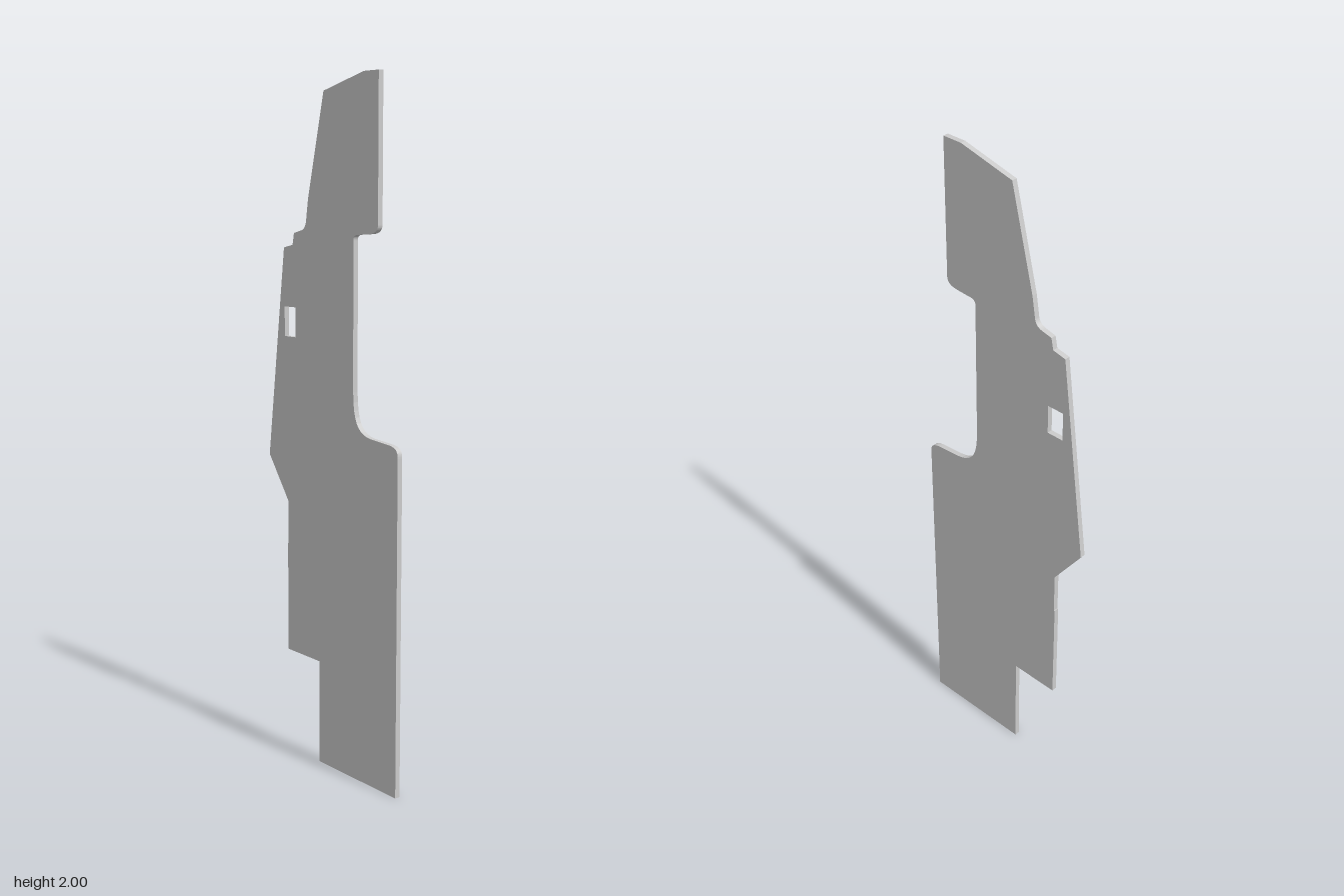
import * as THREE from 'three';

const THICKNESS = 0.016;

// Flat panel outline, counter-clockwise from the lower left foot corner
function panelShape() {
  const s = new THREE.Shape();
  s.moveTo(-0.053, 0);
  s.lineTo(0.295, 0);
  // rounded shoulder
  s.lineTo(0.295, 0.97);
  s.bezierCurveTo(0.295, 0.992, 0.285, 1.0, 0.255, 1.003);
  s.lineTo(0.2, 1.007);
  // side cut-out
  s.bezierCurveTo(0.135, 1.01, 0.104, 1.03, 0.103, 1.13);
  s.lineTo(0.102, 1.55);
  s.quadraticCurveTo(0.102, 1.565, 0.12, 1.566);
  s.lineTo(0.17, 1.569);
  s.quadraticCurveTo(0.207, 1.572, 0.207, 1.595);
  // upper end
  s.lineTo(0.207, 2);
  s.lineTo(0.145, 2);
  s.lineTo(-0.031, 1.957);
  s.lineTo(-0.103, 1.66);
  // stepped notch
  s.lineTo(-0.113, 1.595);
  s.quadraticCurveTo(-0.118, 1.575, -0.14, 1.571);
  s.lineTo(-0.17, 1.564);
  s.lineTo(-0.177, 1.53);
  s.lineTo(-0.219, 1.521);
  // slanted edge and lower step
  s.lineTo(-0.297, 0.9);
  s.lineTo(-0.203, 0.77);
  s.lineTo(-0.203, 0.64);
  s.lineTo(-0.206, 0.64);
  s.lineTo(-0.206, 0.311);
  s.lineTo(-0.053, 0.311);
  s.closePath();

  // small rectangular window
  const hole = new THREE.Path();
  hole.moveTo(-0.217, 1.263);
  hole.lineTo(-0.217, 1.35);
  hole.lineTo(-0.164, 1.35);
  hole.lineTo(-0.164, 1.263);
  hole.closePath();
  s.holes.push(hole);
  return s;
}

export function createModel() {
  const group = new THREE.Group();
  const geometry = new THREE.ExtrudeGeometry(panelShape(), {
    depth: THICKNESS, bevelEnabled: false, curveSegments: 10,
  });
  geometry.translate(0, 0, -THICKNESS / 2);
  const panel = new THREE.Mesh(geometry, new THREE.MeshStandardMaterial({ color: 0xcccccc }));
  panel.name = 'panel';
  group.add(panel);
  return group;
}
